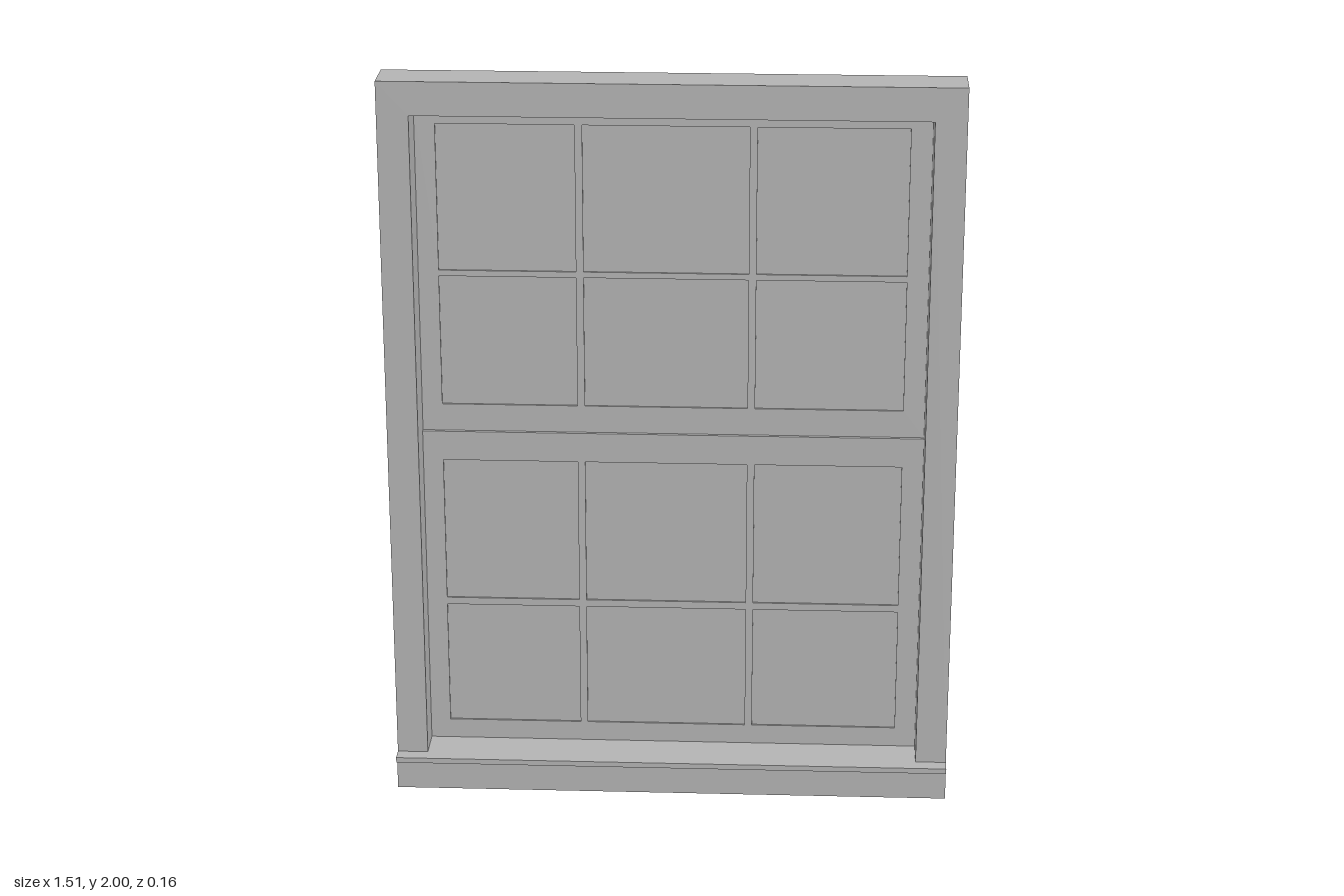
import * as THREE from 'three';

const grey = new THREE.MeshStandardMaterial({ color: 0xb4b4b4 });
grey.name = 'window grey';

function mesh(name, geometry) {
  const m = new THREE.Mesh(geometry, grey);
  m.name = name;
  return m;
}

// Box given by its limits on each axis
function box(name, [x0, x1], [y0, y1], [z0, z1]) {
  const m = mesh(name, new THREE.BoxGeometry(x1 - x0, y1 - y0, z1 - z0));
  m.position.set((x0 + x1) / 2, (y0 + y1) / 2, (z0 + z1) / 2);
  return m;
}

function rectangle(PathType, [x0, x1], [y0, y1]) {
  const p = new PathType();
  p.moveTo(x0, y0).lineTo(x1, y0).lineTo(x1, y1).lineTo(x0, y1).closePath();
  return p;
}

// Flat panel with rectangular openings
function panel(name, xs, ys, [z0, z1], openings) {
  const shape = rectangle(THREE.Shape, xs, ys);
  for (const [hx, hy] of openings) shape.holes.push(rectangle(THREE.Path, hx, hy));
  const g = new THREE.ExtrudeGeometry(shape, { depth: z1 - z0, bevelEnabled: false });
  g.translate(0, 0, z0);
  return mesh(name, g);
}

const HALF = 0.755, INNER = 0.672;
const columns = [[-0.618, -0.255], [-0.235, 0.2], [0.22, 0.615]];

// Sash: rails, stiles and muntins in one panel, with recessed glass behind
function sash(name, ys, zs, rows) {
  const group = new THREE.Group();
  group.name = name;
  const openings = rows.flatMap((row) => columns.map((col) => [col, row]));
  group.add(panel(name + 'Bars', [-INNER, INNER], ys, zs, openings));
  const mid = (zs[0] + zs[1]) / 2;
  for (const [cx, cy] of openings) group.add(box('glassPane', cx, cy, [mid - 0.001, mid + 0.001]));
  return group;
}

export function createModel() {
  const model = new THREE.Group();
  model.name = 'sashWindow';

  // Deep outer frame
  model.add(panel('outerFrame', [-HALF, HALF], [0.085, 2], [-0.08, 0.04],
    [[[-INNER, INNER], [0.1, 1.91]]]));

  // Upper sash sits one step behind the lower one
  model.add(sash('upperSash', [1.01, 1.91], [-0.078, -0.066], [[1.087, 1.447], [1.463, 1.862]]));
  model.add(sash('lowerSash', [0.1, 1.012], [-0.068, -0.056], [[0.155, 0.505], [0.525, 0.93]]));

  // Sill nose and thin apron below it
  model.add(box('sillNose', [-HALF, HALF], [0.085, 0.1], [0.04, 0.08]));
  model.add(box('apron', [-HALF, HALF], [0, 0.085], [0.057, 0.061]));

  return model;
}
